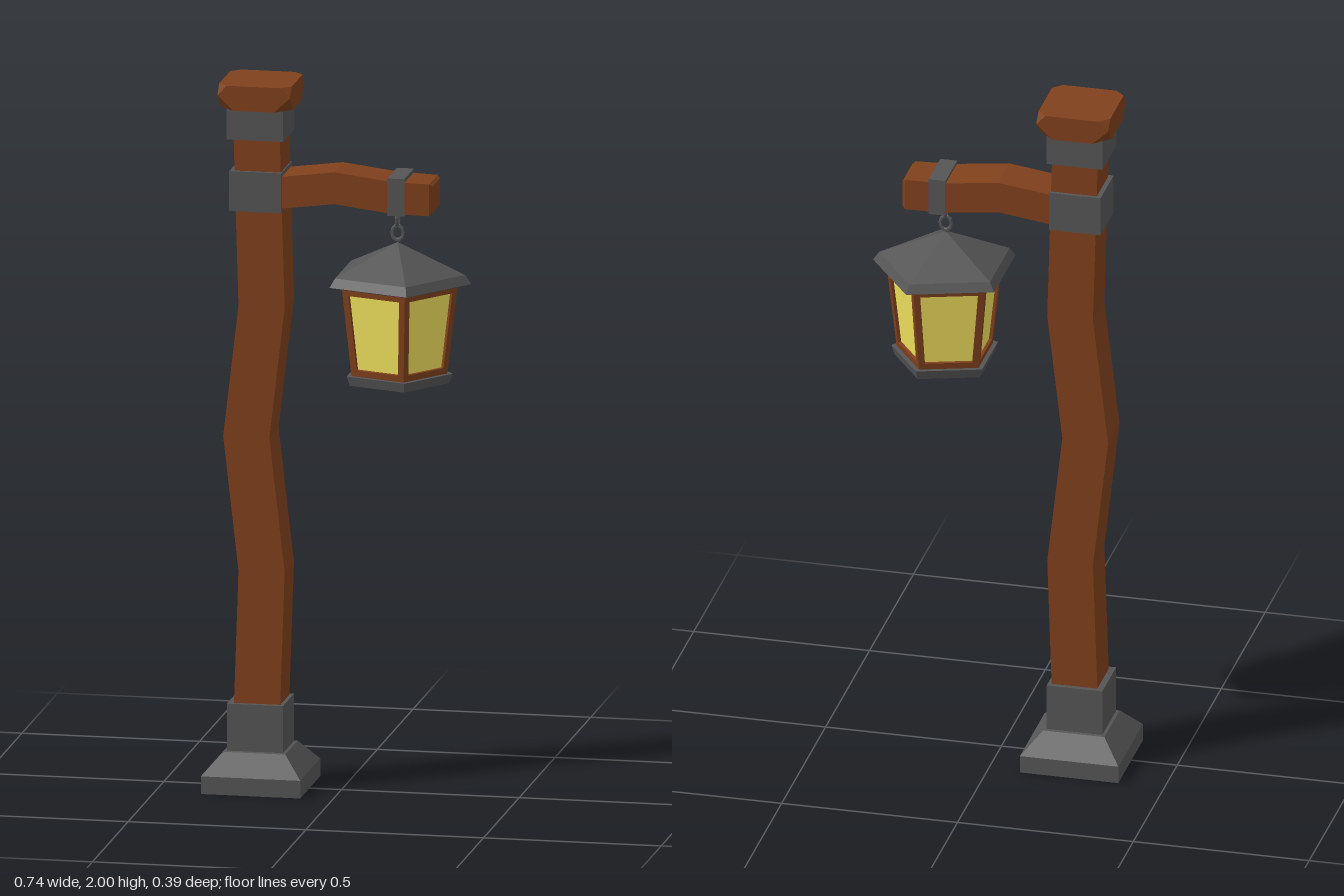
import * as THREE from 'three';
import { ConvexGeometry } from 'three/addons/geometries/ConvexGeometry.js';

const mat = (color, extra = {}) => new THREE.MeshStandardMaterial({ color, flatShading: true, ...extra });
const POST_X = -0.23, POST_Z = -0.01, LAMP_X = 0.158;

export function createModel() {
  const wood = mat(0x7f401c), iron = mat(0x555555);
  const glass = mat(0xf2e25e, { side: THREE.DoubleSide });
  const root = new THREE.Group();
  root.name = 'lampPost';

  const add = (name, geometry, material, x = 0, y = 0, z = 0, parent = root) => {
    const mesh = new THREE.Mesh(geometry, material);
    mesh.name = name;
    mesh.position.set(x, y, z);
    parent.add(mesh);
    return mesh;
  };

  // Beam with rectangular sections [x, y, thickness, depth], running along 'x' or 'y'
  const beam = (axis, sections) => {
    const n = sections.length - 1, alongX = axis === 'x';
    const g = new THREE.BoxGeometry(1, 1, 1, alongX ? n : 1, alongX ? 1 : n, 1);
    const p = g.attributes.position;
    for (let i = 0; i < p.count; i++) {
      const u = alongX ? p.getX(i) : p.getY(i);
      const v = alongX ? p.getY(i) : p.getX(i);
      const [x, y, t, d] = sections[Math.round((u + 0.5) * n)];
      p.setXYZ(i, x + (alongX ? 0 : v * t), y + (alongX ? v * t : 0), p.getZ(i) * d);
    }
    g.computeVertexNormals();
    return g;
  };

  // Plinth and crooked post
  add('plinth', beam('y', [
    [0, 0, 0.28, 0.28], [0, 0.05, 0.28, 0.28], [0, 0.11, 0.175, 0.175],
    [0, 0.112, 0.158, 0.158], [0, 0.245, 0.158, 0.158],
  ]), iron, POST_X, 0, POST_Z);
  add('post', beam('y', [
    [-0.228, 0.2, 0.13, 0.13], [-0.214, 0.62, 0.13, 0.13], [-0.257, 1.0, 0.13, 0.13],
    [-0.214, 1.37, 0.13, 0.13], [-0.228, 1.86, 0.13, 0.13],
  ]), wood, 0, 0, POST_Z);

  // Iron collars
  add('armCollar', new THREE.BoxGeometry(0.146, 0.113, 0.15), iron, POST_X, 1.696, POST_Z);
  add('topCollar', new THREE.BoxGeometry(0.16, 0.09, 0.16), iron, POST_X, 1.888, POST_Z);

  // Cap: block with its corners chipped off above and below
  const capPoints = [], h = 0.102;
  for (const sx of [-1, 1]) for (const sz of [-1, 1]) {
    const corner = (a, y, b) => capPoints.push(new THREE.Vector3(sx * a, y, sz * b));
    corner(h, 0.042, h);
    corner(h, 0.07, h - 0.026);
    corner(h - 0.02, 0.07, h - 0.02);
    corner(h - 0.026, 0.07, h);
    corner(h, 0, h - 0.045);
    corner(h - 0.045, 0, h);
  }
  add('cap', new ConvexGeometry(capPoints), wood, -0.229, 1.93, POST_Z);

  // Arm with its bracket
  add('arm', beam('x', [
    [-0.2, 1.69, 0.09, 0.128], [-0.01, 1.715, 0.09, 0.128], [0.15, 1.695, 0.09, 0.128],
    [0.257, 1.692, 0.09, 0.122], [0.265, 1.692, 0.076, 0.108],
  ]), wood, 0, 0, -0.009);
  add('armBracket', new THREE.BoxGeometry(0.048, 0.106, 0.134), iron, 0.164, 1.697, -0.01);

  // Two chain links at right angles
  [[1.628, Math.PI / 2], [1.584, 0]].forEach(([y, turn]) => {
    const link = add('chainLink', new THREE.TorusGeometry(0.016, 0.005, 6, 10), iron, LAMP_X, y, 0);
    link.scale.y = 1.3;
    link.rotation.y = turn;
  });

  // Five-sided lantern, one corner towards +x
  const lantern = new THREE.Group();
  lantern.name = 'lantern';
  lantern.position.x = LAMP_X;
  root.add(lantern);
  const SIDES = 5, START = Math.PI / 2;
  const frustum = (top, bottom, height, open = false) =>
    new THREE.CylinderGeometry(top, bottom, height, SIDES, 1, open, START);

  // Roof: shallow cone, steeper rim, flat underside
  const roofProfile = [[0, 1.445], [0.2, 1.445], [0.207, 1.448], [0.19, 1.473], [0, 1.558]]
    .map(([r, y]) => new THREE.Vector2(r, y));
  add('lanternRoof', new THREE.LatheGeometry(roofProfile, SIDES, START), iron, 0, 0, 0, lantern);
  add('lanternBase', frustum(0.155, 0.146, 0.027), iron, 0, 1.1785, 0, lantern);

  const LOW = 1.19, HIGH = 1.447, R_LOW = 0.14, R_HIGH = 0.17;
  add('glass', frustum(R_HIGH - 0.011, R_LOW - 0.011, HIGH - LOW, true), glass, 0, (LOW + HIGH) / 2, 0, lantern);

  // Window frames: tilted trapezoids with a hole
  const half = Math.PI / SIDES;
  const lean = (R_HIGH - R_LOW) * Math.cos(half);
  const slant = Math.hypot(HIGH - LOW, lean);
  const wLow = R_LOW * Math.sin(half), wHigh = R_HIGH * Math.sin(half);
  const trapezoid = (inset, y0, y1) => {
    const w = (y) => wLow + (wHigh - wLow) * y / slant - inset;
    return [[-w(y0), y0], [w(y0), y0], [w(y1), y1], [-w(y1), y1]].map(([x, y]) => new THREE.Vector2(x, y));
  };
  const frameShape = new THREE.Shape(trapezoid(0, 0, slant));
  frameShape.holes.push(new THREE.Path(trapezoid(0.018, 0.02, slant - 0.024)));
  const frameGeometry = new THREE.ExtrudeGeometry(frameShape, { depth: 0.015, bevelEnabled: false });
  frameGeometry.translate(0, 0, -0.015);
  for (let i = 0; i < SIDES; i++) {
    const side = new THREE.Group();
    side.name = 'windowSide';
    side.rotation.y = START + half + i * 2 * half;
    lantern.add(side);
    const frame = add('windowFrame', frameGeometry, wood, 0, LOW, R_LOW * Math.cos(half), side);
    frame.rotation.x = Math.atan2(lean, HIGH - LOW);
  }

  return root;
}
